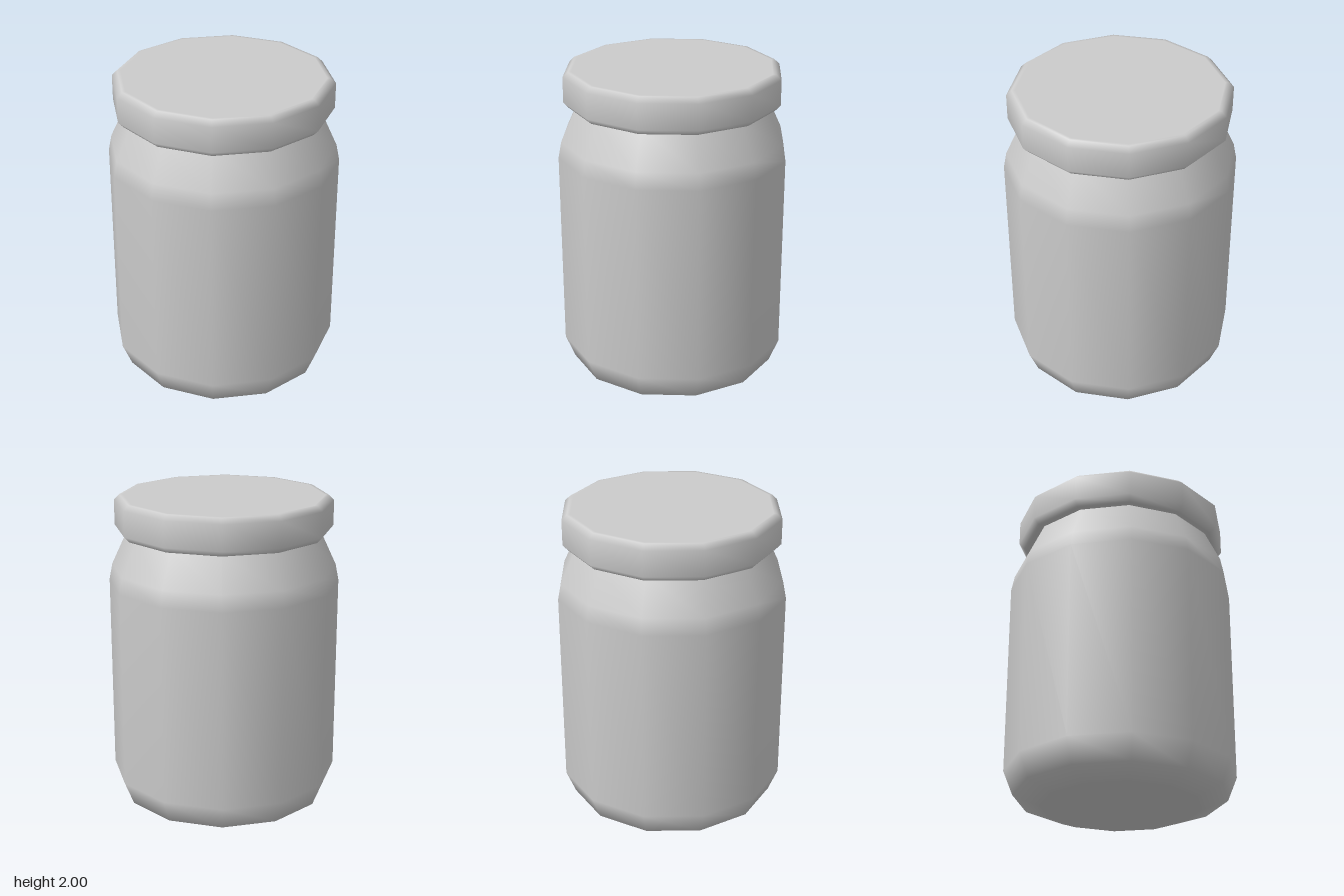
import * as THREE from 'three';

const SIDES = 12;

// Twelve-sided turned part from a [radius, height] profile running bottom to top
function turned(name, profile, material) {
  const points = profile.map(([r, y]) => new THREE.Vector2(r, y));
  const mesh = new THREE.Mesh(new THREE.LatheGeometry(points, SIDES), material);
  mesh.name = name;
  return mesh;
}

export function createModel() {
  const group = new THREE.Group();
  group.name = 'jar';
  const grey = new THREE.MeshStandardMaterial({ color: 0xcccccc });

  // Body: flat base, chamfered foot, straight wall, shoulder and neck
  group.add(turned('jarBody', [
    [0, 0], [0.49, 0], [0.51, 0.003], [0.66, 0.06], [0.72, 0.21],
    [0.72, 1.46], [0.70, 1.56], [0.60, 1.775],
  ], grey));

  // Lid: bevelled disc overhanging the neck
  group.add(turned('lid', [
    [0, 1.775], [0.63, 1.775], [0.645, 1.775], [0.678, 1.81],
    [0.678, 1.968], [0.645, 2], [0.625, 2], [0, 2],
  ], grey));

  return group;
}
